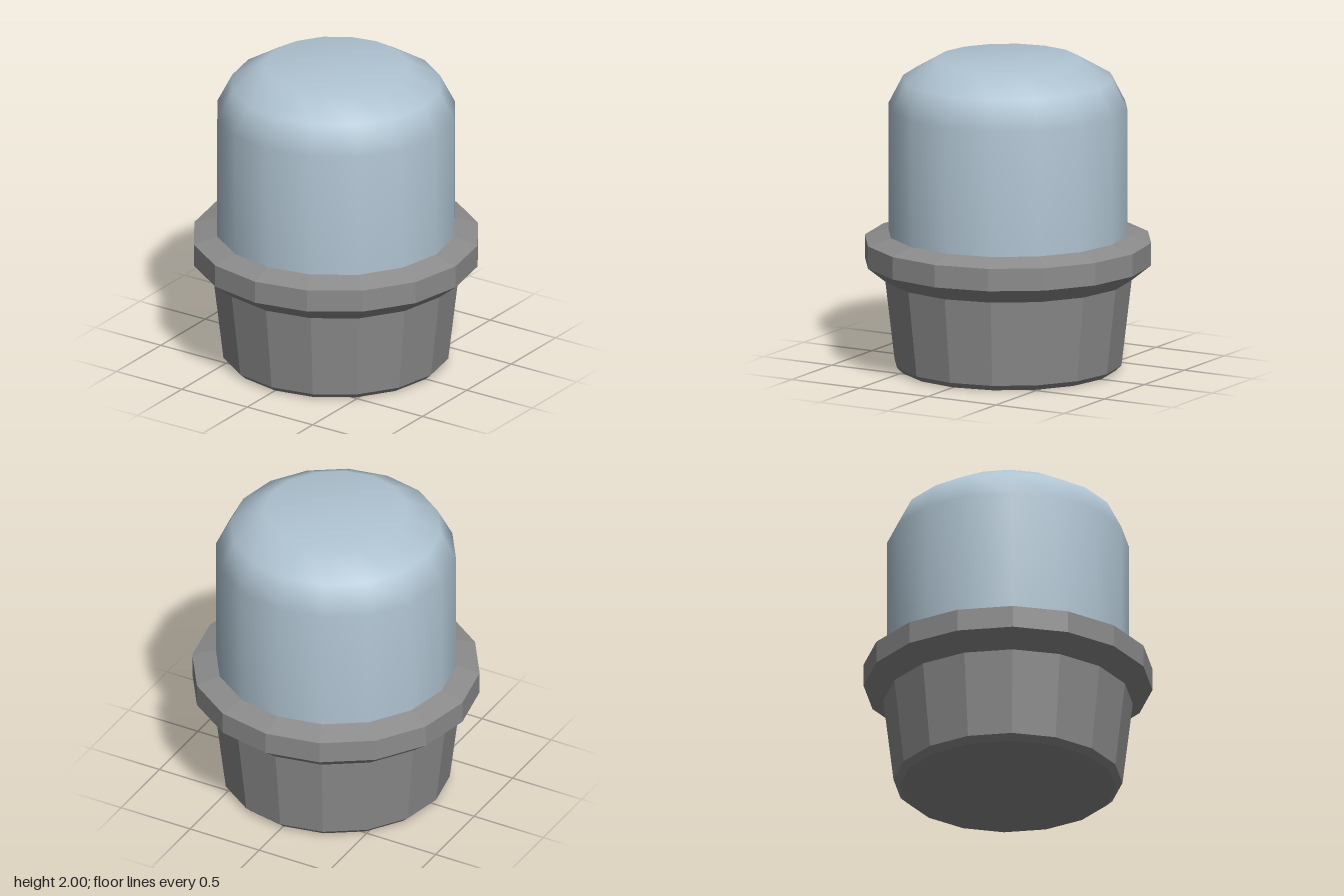
import * as THREE from 'three';

const SIDES = 16;

// Revolve a bottom-to-top profile of [radius, height] pairs
function lathe(name, profile, material) {
  const points = profile.map(([r, y]) => new THREE.Vector2(r, y));
  const mesh = new THREE.Mesh(new THREE.LatheGeometry(points, SIDES), material);
  mesh.name = name;
  return mesh;
}

export function createModel() {
  const group = new THREE.Group();
  group.name = 'domedLamp';

  const metal = new THREE.MeshStandardMaterial({ color: 0x8c8c8c, flatShading: true });
  const glass = new THREE.MeshStandardMaterial({ color: 0xb0c4d2, side: THREE.DoubleSide });

  // Faceted tapered cup with a chamfered foot and a flared collar
  group.add(lathe('base', [
    [0, 0], [0.685, 0], [0.725, 0.037], [0.79, 0.59],
    [0.915, 0.69], [0.915, 0.835], [0.765, 0.88],
  ], metal));

  // Smooth rounded cover seated on the collar
  group.add(lathe('dome', [
    [0.765, 0.88], [0.765, 1.69], [0.67, 1.875], [0.455, 2], [0, 2],
  ], glass));

  return group;
}
